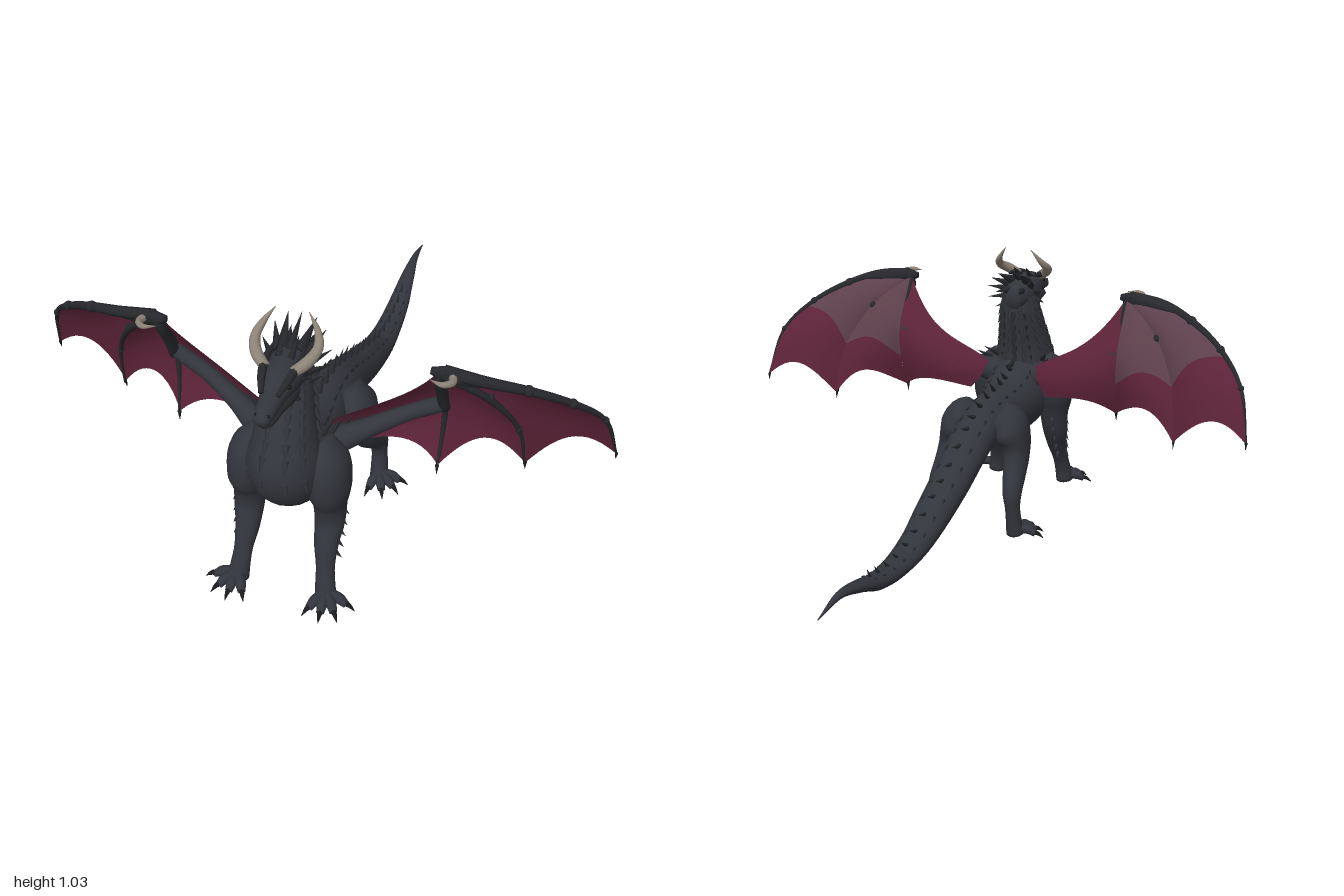
import * as THREE from 'three';
import { mergeGeometries } from 'three/addons/utils/BufferGeometryUtils.js';

const V = (x, y, z) => new THREE.Vector3(x, y, z);
const mat = (name, color) => Object.assign(new THREE.MeshStandardMaterial({ color }), { name });

function indexed(positions, index) {
  const g = new THREE.BufferGeometry();
  g.setAttribute('position', new THREE.Float32BufferAttribute(positions, 3));
  g.setIndex(index);
  g.computeVertexNormals();
  return g;
}

// Section of a path whose points are [x, y, z, halfWidth, halfHeight]
function sampler(pts, ref) {
  const path = new THREE.CatmullRomCurve3(pts.map(p => V(p[0], p[1], p[2])));
  const size = new THREE.CatmullRomCurve3(pts.map(p => V(p[3], p[4] ?? p[3], 0)), false, 'catmullrom', 0.4);
  return t => {
    const c = path.getPoint(t), dir = path.getTangent(t), r = size.getPoint(t);
    const u = ref.clone().addScaledVector(dir, -ref.dot(dir)).normalize();
    const v = dir.clone().cross(u);
    const ru = Math.max(r.x, 0.0008), rv = Math.max(r.y, 0.0008);
    const at = (a, k = 1) => c.clone().addScaledVector(u, k * ru * Math.cos(a)).addScaledVector(v, k * rv * Math.sin(a));
    return { c, dir, v, at };
  };
}

// Closed smooth skin around a path
function sweep(pts, steps, sides, ref = V(1, 0, 0)) {
  const sample = sampler(pts, ref), pos = [], idx = [];
  for (let i = 0; i <= steps; i++) {
    const s = sample(i / steps);
    for (let j = 0; j < sides; j++) pos.push(...s.at(j / sides * Math.PI * 2).toArray());
  }
  for (let i = 0; i < steps; i++) for (let j = 0; j < sides; j++) {
    const k = (j + 1) % sides, a = i * sides + j, b = i * sides + k;
    idx.push(a, b, b + sides, a, b + sides, a + sides);
  }
  const first = pos.length / 3, end = steps * sides;
  pos.push(...sample(0).c.toArray(), ...sample(1).c.toArray());
  for (let j = 0; j < sides; j++) {
    const k = (j + 1) % sides;
    idx.push(first, k, j, first + 1, end + j, end + k);
  }
  return indexed(pos, idx);
}

function spike(base, dir, length, radius) {
  const g = new THREE.ConeGeometry(radius, length, 6, 1);
  g.deleteAttribute('uv');
  g.translate(0, length * 0.4, 0);
  g.applyQuaternion(new THREE.Quaternion().setFromUnitVectors(V(0, 1, 0), dir.clone().normalize()));
  return g.translate(base.x, base.y, base.z);
}

function mirrored(g) {
  const m = g.clone().scale(-1, 1, 1), ix = m.index.array;
  for (let i = 0; i < ix.length; i += 3) [ix[i], ix[i + 1]] = [ix[i + 1], ix[i]];
  return m;
}

export function createModel() {
  const root = new THREE.Group();
  const hide = mat('charcoal hide', 0x33353d), dark = mat('dark scale', 0x27282c);
  const horn = mat('horn', 0x8c8376), claw = mat('black claw', 0x1b1b1e);
  const wine = mat('wine membrane', 0x5d2338), mauve = mat('mauve membrane', 0x5c404b);
  const add = (name, g, m) => {
    const mesh = new THREE.Mesh(g, m);
    mesh.name = name;
    root.add(mesh);
  };
  const pair = (name, g, m) => { add(name + 'Left', g, m); add(name + 'Right', mirrored(g), m); };

  // Tail, trunk and neck as one skin
  const spine = [
    [-.962, .20, .002, .002], [-.83, .221, .014, .012], [-.70, .193, .03, .02], [-.58, .155, .042, .028],
    [-.44, .143, .05, .033], [-.28, .165, .06, .042], [-.12, .225, .07, .058], [.03, .29, .077, .064],
    [.19, .372, .083, .072], [.30, .41, .086, .08], [.42, .415, .092, .098], [.55, .41, .112, .118],
    [.68, .435, .13, .146], [.765, .51, .132, .142], [.757, .61, .106, .112], [.728, .70, .086, .092],
    [.70, .78, .074, .076], [.69, .85, .058, .058],
  ].map(([z, y, w, h]) => [0, y, z, w, h]);
  add('body', sweep(spine, 102, 28), hide);
  const sampleSpine = sampler(spine, V(1, 0, 0));
  const bodyAt = i => sampleSpine(i / (spine.length - 1));

  // Spines down the back, with lower scales beside them
  const ridge = [], scales = [], ruff = [];
  for (let i = 2.6; i < 16.6; i += 0.5) {
    const s = bodyAt(i), big = Math.min(1, 0.4 + i / 14);
    ridge.push(spike(s.at(Math.PI / 2, 0.98), s.v.clone().addScaledVector(s.dir, -1.1), 0.08 * big, 0.011 * big));
    for (const a of [0.95, 2.19]) {
      scales.push(spike(s.at(a, 0.98), s.at(a).sub(s.c).normalize().multiplyScalar(0.25).sub(s.dir), 0.035 * big, 0.007 * big));
    }
  }
  // Ruff on the neck and overlapping scutes on the throat and chest
  for (let i = 13.2; i < 16.8; i += 0.45) {
    const s = bodyAt(i);
    for (const a of [0.1, 0.5, 1.2, 1.94, 2.64, 3.04]) {
      ruff.push(spike(s.at(a, 0.96), s.at(a).sub(s.c).normalize().multiplyScalar(0.55).sub(s.dir), 0.055, 0.012));
    }
    for (const a of [-0.75, -1.25, -1.89, -2.39]) {
      ruff.push(spike(s.at(a, 0.95), s.at(a).sub(s.c).normalize().multiplyScalar(0.4).sub(s.dir), 0.055, 0.015));
    }
  }
  add('backSpines', mergeGeometries(ridge), dark);
  add('backScales', mergeGeometries(scales), dark);
  add('neckScales', mergeGeometries(ruff), hide);

  // Head: skull with snout, and lower jaw
  add('skull', sweep([
    [0, .835, .61, .03, .035], [0, .84, .68, .06, .064], [0, .852, .75, .064, .063], [0, .855, .81, .054, .054],
    [0, .845, .865, .039, .036], [0, .838, .92, .032, .028], [0, .83, .955, .025, .022], [0, .826, .968, .012, .01],
  ], 36, 20), hide);
  add('lowerJaw', sweep([
    [0, .80, .70, .05, .035], [0, .792, .78, .05, .028], [0, .795, .86, .034, .016], [0, .797, .92, .026, .013],
    [0, .80, .946, .012, .008],
  ], 20, 16), dark);
  add('chinSpike', spike(V(0, .785, .915), V(0, -1, -.4), .03, .008), dark);

  // Brows, eyes, nostrils, horns and the crown of spikes
  pair('brow', sweep([[.026, .875, .885, .008], [.043, .898, .83, .013], [.053, .91, .77, .013], [.05, .92, .70, .003]], 12, 8), dark);
  pair('eye', new THREE.SphereGeometry(.008, 10, 8).translate(.045, .873, .835), claw);
  pair('nostril', new THREE.SphereGeometry(.007, 8, 6).translate(.018, .845, .948), claw);
  pair('horn', sweep([
    [.045, .90, .795, .017], [.08, .925, .77, .019], [.10, .95, .725, .016], [.088, .98, .688, .011], [.053, 1.03, .663, .001],
  ], 24, 12, V(0, 0, 1)), horn);
  const crown = [
    [.055, .80, .72, .5, -.15, -.8, .08], [.06, .83, .70, .65, 0, -.6, .09], [.058, .86, .70, .6, .2, -.7, .1],
    [.048, .885, .68, .35, .35, -.8, .11], [.03, .90, .68, .15, .4, -.9, .13], [.03, .87, .63, .2, .1, -.9, .09],
    [.045, .775, .77, .35, -.5, -.8, .055], [.055, .85, .77, .7, -.1, -.6, .05], [.02, .91, .74, .1, .6, -.8, .08],
  ];
  pair('headSpikes', mergeGeometries(crown.map(([x, y, z, a, b, c, l]) => spike(V(x, y, z), V(a, b, c), l, l * .16))), dark);
  add('crestSpike', spike(V(0, .905, .69), V(0, .5, -1), .14, .016), dark);

  // Legs, each with toes and claws
  function leg(name, rings, foot, angles) {
    pair(name, sweep(rings, 36, 18), hide);
    const toes = [], claws = [], [fx, fz] = foot;
    for (const deg of angles) {
      const a = deg * Math.PI / 180;
      const p = (d, y, r, q = r) => [fx + Math.sin(a) * d, y, fz + Math.cos(a) * d, r, q];
      const ref = V(Math.cos(a), 0, -Math.sin(a));
      toes.push(sweep([p(-.01, .035, .022), p(.03, .032, .019), p(.055, .03, .018), p(.08, .016, .013, .012)], 10, 10, ref));
      claws.push(sweep([p(.068, .022, .011), p(.09, .02, .008), p(.112, .004, .001)], 6, 8, ref));
    }
    pair(name + 'Toes', mergeGeometries(toes), hide);
    pair(name + 'Claws', mergeGeometries(claws), claw);
  }
  leg('frontLeg', [
    [.10, .58, .71, .035, .05], [.125, .51, .735, .072, .095], [.135, .42, .75, .073, .092], [.138, .34, .75, .056, .062],
    [.14, .27, .762, .051, .046], [.138, .20, .795, .042, .038], [.144, .12, .83, .032, .027], [.15, .06, .852, .034, .028],
    [.155, .012, .862, .036, .034],
  ], [.155, .862], [-28, 4, 36, 75]);
  leg('hindLeg', [
    [.07, .47, .32, .04, .06], [.105, .42, .34, .062, .095], [.123, .36, .35, .058, .09], [.135, .30, .335, .05, .07],
    [.145, .24, .295, .043, .054], [.155, .18, .25, .036, .042], [.16, .12, .245, .029, .029], [.163, .06, .255, .031, .03],
    [.165, .012, .265, .034, .036],
  ], [.165, .267], [-12, 22, 54, 86]);
  const limbSpikes = [], shoulderSpikes = [];
  for (let k = 0; k < 5; k++) {
    limbSpikes.push(spike(V(.15, .34 - k * .045, .70 + k * .02), V(.25, -.4, -1), .045, .01));
    limbSpikes.push(spike(V(.185 - k * .003, .33 - k * .04, .755 + k * .012), V(.6, -1, -.2), .04, .009));
    shoulderSpikes.push(spike(V(.10 + k * .02, .585 - k * .012, .70 - k * .022), V(.5, .6, -.9), .085, .013));
  }
  pair('legSpikes', mergeGeometries(limbSpikes), hide);
  pair('shoulderSpikes', mergeGeometries(shoulderSpikes), dark);

  // Wing ribs from the body edge out to the leading finger
  const ribs = [
    [[.10, .575, .62], [.12, .52, .60], [.16, .465, .585]],
    [[.455, .885, .645], [.458, .69, .54], [.455, .56, .545], [.45, .44, .585]],
    [[.465, .88, .645], [.60, .76, .575], [.69, .59, .495], [.715, .405, .455]],
    [[.47, .89, .65], [.60, .875, .645], [.72, .835, .60], [.85, .76, .53], [.95, .65, .45], [.997, .465, .39]],
  ];
  const curves = ribs.map(r => new THREE.CatmullRomCurve3(r.map(p => V(...p))));

  // One membrane panel, scalloped between its ribs and bellied backwards
  function panel(k, v0, v1, back) {
    const nu = 14, nv = 12, pos = [], idx = [];
    const [topTrim, lowTrim] = [[.14, .16], [0, .19], [0, .11]][k];
    for (let i = 0; i <= nu; i++) for (let j = 0; j <= nv; j++) {
      const u = i / nu, w = 4 * u * (1 - u), v = v0 + (v1 - v0) * j / nv;
      const t = topTrim * w + v * (1 - (topTrim + lowTrim) * w);
      const p = curves[k].getPoint(t).lerp(curves[k + 1].getPoint(t), u);
      p.z -= 0.03 * w * Math.sin(Math.min(1, t * 1.3) * Math.PI * 0.6) + (back ? 0.005 : 0);
      pos.push(p.x, p.y, p.z);
    }
    for (let i = 0; i < nu; i++) for (let j = 0; j < nv; j++) {
      const a = i * (nv + 1) + j, b = a + nv + 1;
      if (back) idx.push(a, b, b + 1, a, b + 1, a + 1);
      else idx.push(a, b + 1, b, a, a + 1, b + 1);
    }
    return indexed(pos, idx);
  }
  pair('wingMembraneFront', mergeGeometries([0, 1, 2].map(k => panel(k, 0, 1, false))), wine);
  pair('wingMembraneBackUpper', mergeGeometries([1, 2].map(k => panel(k, 0, .64, true))), mauve);
  pair('wingMembraneBackLower', mergeGeometries([panel(0, 0, 1, true), panel(1, .64, 1, true), panel(2, .64, 1, true)]), wine);

  // Wing arm and finger bones, lying on the front of the membrane
  const Z = V(0, 0, 1), X = V(1, 0, 0);
  pair('wingArm', sweep([
    [.06, .51, .68, .055], [.14, .535, .655, .046], [.23, .57, .61, .033], [.34, .625, .572, .027], [.45, .685, .56, .026],
    [.468, .70, .56, .01],
  ], 24, 12, Z), hide);
  pair('wingForearm', sweep([[.458, .67, .56, .019], [.455, .76, .60, .018], [.457, .85, .645, .018], [.47, .90, .658, .014]], 14, 10, X), dark);
  const bone = (k, r0, r1, ref, lift) =>
    sweep(ribs[k].map(([x, y, z], i, l) => [x, y, z + lift, r0 + (r1 - r0) * i / (l.length - 1)]), 28, 8, ref);
  pair('wingFingers', mergeGeometries([bone(1, .015, .004, X, .01), bone(2, .015, .004, Z, .01), bone(3, .022, .004, Z, 0)]), dark);

  // Knuckles, claws and the wrist
  const knuckles = [[.60, .76, .578, .017], [.69, .59, .505, .012], [.72, .835, .60, .019], [.85, .76, .53, .016], [.95, .65, .45, .012]];
  pair('wingKnuckles', mergeGeometries(knuckles.map(([x, y, z, r]) => {
    const g = new THREE.SphereGeometry(r, 10, 8).translate(x, y, z);
    g.deleteAttribute('uv');
    return g;
  })), dark);
  pair('wingTipClaws', mergeGeometries([
    spike(V(.45, .44, .59), V(0, -1, .1), .04, .007), spike(V(.715, .41, .46), V(.02, -1, -.2), .04, .007),
    spike(V(.997, .465, .39), V(0, -1, -.1), .03, .006),
  ]), claw);
  pair('wristGuard', sweep([[.43, .885, .65, .012], [.48, .882, .65, .022, .028], [.55, .872, .642, .02, .026], [.66, .857, .622, .01]], 14, 10, Z), dark);
  pair('wristHook', sweep([[.50, .885, .66, .014], [.505, .888, .69, .012], [.48, .893, .715, .009], [.44, .895, .705, .001]], 14, 8, V(0, 1, 0)), horn);

  return root;
}
